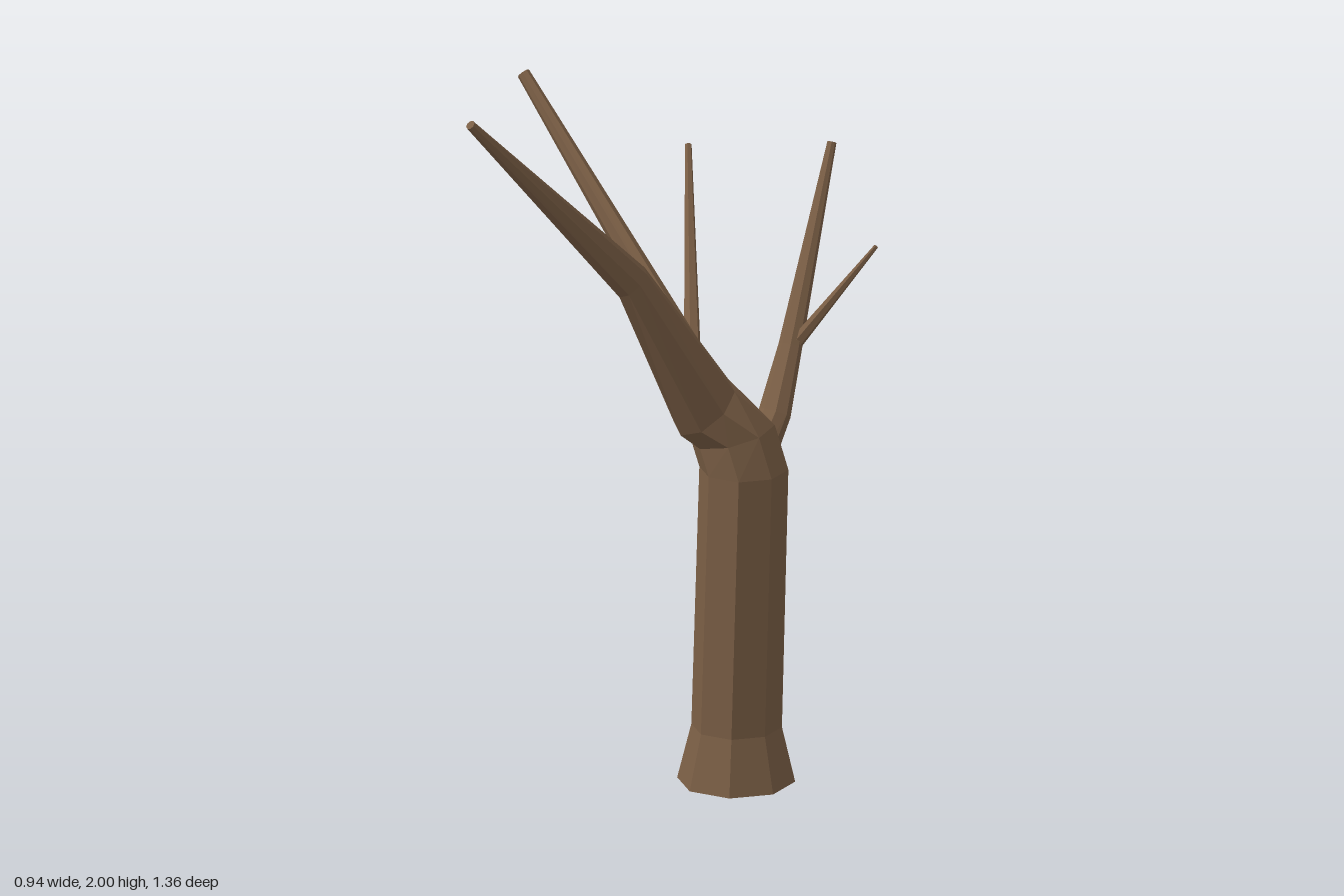
import * as THREE from 'three';

const bark = new THREE.MeshStandardMaterial({ color: 0x7a5e45 });
bark.name = 'bark brown';

// Faceted limb through rings: { p: centre, r: [radius across x, other radius], t: optional ring normal }
function limb(name, rings, sides) {
  const centres = rings.map((k) => new THREE.Vector3(...k.p));
  const dirs = centres.slice(1).map((c, i) => c.clone().sub(centres[i]).normalize());
  const loops = rings.map((k, i) => {
    const before = dirs[Math.max(i - 1, 0)];
    const after = dirs[Math.min(i, dirs.length - 1)];
    const t = k.t ? new THREE.Vector3(...k.t) : before.clone().add(after);
    t.normalize();
    const u = new THREE.Vector3(1, 0, 0).addScaledVector(t, -t.x).normalize();
    const w = u.clone().cross(t);
    return Array.from({ length: sides }, (_, j) => {
      const a = (j / sides) * Math.PI * 2;
      return centres[i].clone()
        .addScaledVector(u, Math.cos(a) * k.r[0])
        .addScaledVector(w, Math.sin(a) * k.r[1]);
    });
  });
  const points = [];
  const last = loops.length - 1;
  for (let j = 0; j < sides; j++) {
    const n = (j + 1) % sides;
    for (let i = 0; i < last; i++) {
      const lo = loops[i], up = loops[i + 1];
      points.push(lo[j], up[j], lo[n], up[j], up[n], lo[n]);
    }
    points.push(centres[0], loops[0][j], loops[0][n]);
    points.push(centres[last], loops[last][n], loops[last][j]);
  }
  // unshared corners keep every facet flat
  const geometry = new THREE.BufferGeometry().setFromPoints(points);
  geometry.computeVertexNormals();
  const mesh = new THREE.Mesh(geometry, bark);
  mesh.name = name;
  return mesh;
}

export function createModel() {
  const tree = new THREE.Group();
  tree.name = 'bareTree';

  // Trunk with flared foot, bending forward into the main bough
  tree.add(limb('trunkAndMainBough', [
    { p: [0.316, 0, -0.212], r: [0.155, 0.155], t: [0, 1, 0] },
    { p: [0.318, 0.15, -0.212], r: [0.119, 0.119], t: [0, 1, 0] },
    { p: [0.342, 0.865, -0.217], r: [0.117, 0.117], t: [0, 1, 0] },
    { p: [0.318, 0.96, -0.2], r: [0.115, 0.112], t: [-0.15, 1, 0.2] },
    { p: [0.305, 1.045, -0.115], r: [0.085, 0.1] },
    { p: [0.304, 1.44, 0.125], r: [0.034, 0.053] },
    { p: [0.305, 1.99, 0.665], r: [0.013, 0.013] },
  ], 8));

  // Side bough toward the right, with its twig
  tree.add(limb('sideBough', [
    { p: [0.3, 1.0, -0.2], r: [0.05, 0.04] },
    { p: [0.2, 1.085, -0.193], r: [0.05, 0.036] },
    { p: [-0.455, 1.762, -0.115], r: [0.02, 0.016] },
  ], 8));
  tree.add(limb('sideTwig', [
    { p: [0.16, 1.13, -0.19], r: [0.023, 0.023] },
    { p: [-0.16, 1.578, -0.43], r: [0.009, 0.009] },
  ], 6));

  // Rear bough, with its twig
  tree.add(limb('rearBough', [
    { p: [0.305, 0.83, -0.27], r: [0.048, 0.048] },
    { p: [0.285, 0.97, -0.365], r: [0.046, 0.04] },
    { p: [0.25, 1.13, -0.445], r: [0.033, 0.03] },
    { p: [0.138, 1.613, -0.672], r: [0.012, 0.012] },
  ], 8));
  tree.add(limb('rearTwig', [
    { p: [0.24, 1.1, -0.435], r: [0.02, 0.02] },
    { p: [0.408, 1.412, -0.605], r: [0.006, 0.006] },
  ], 6));

  return tree;
}
